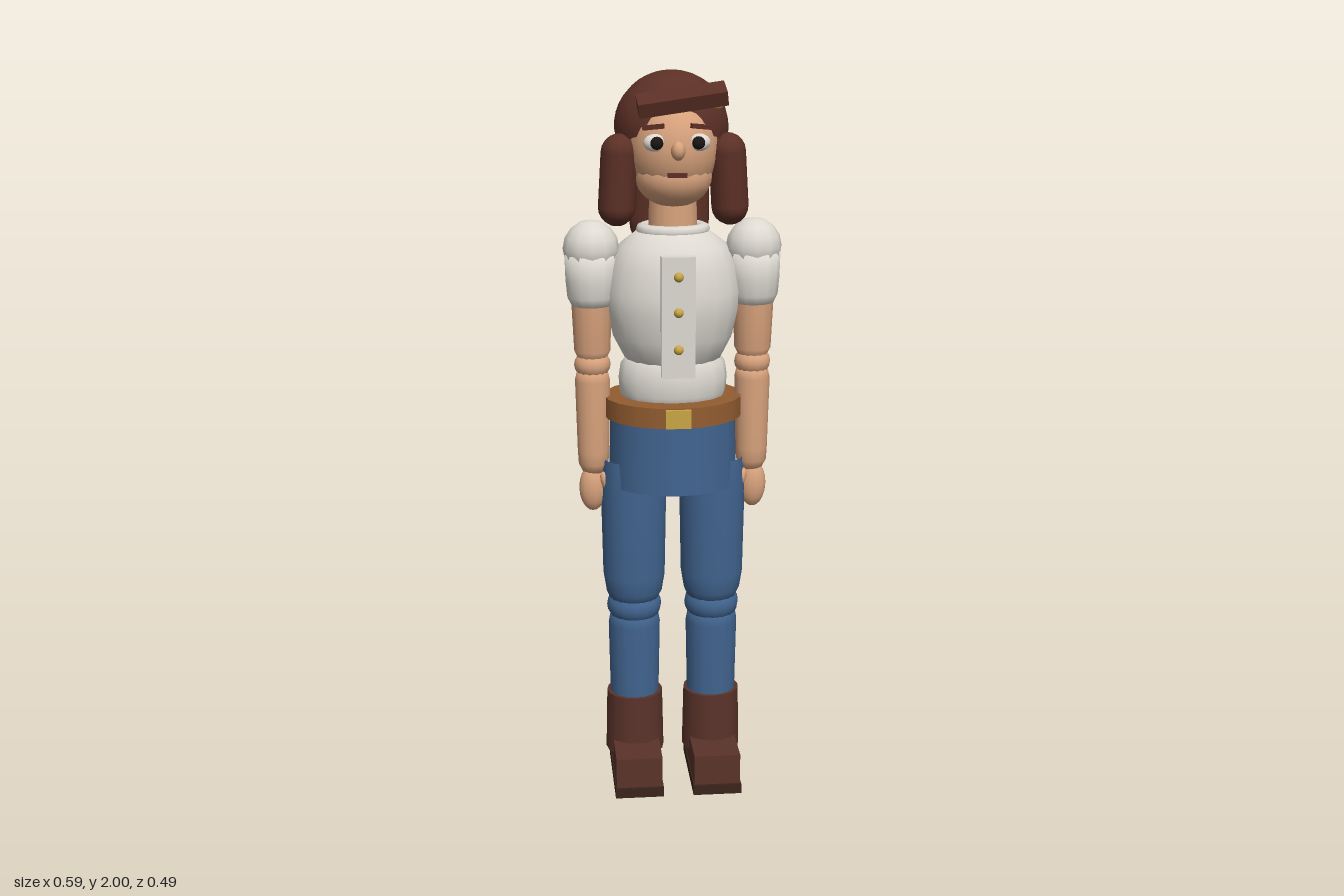
import * as THREE from 'three';

const mat = (name, color) => {
  const m = new THREE.MeshStandardMaterial({ color });
  m.name = name;
  return m;
};

export function createModel() {
  const skin = mat('skin', 0xd9a37d), cream = mat('cream cloth', 0xdedad2), denim = mat('denim', 0x41648f);
  const hair = mat('hair', 0x5c3026), boot = mat('boot leather', 0x5a332a), sole = mat('sole', 0x3a241c);
  const tan = mat('tan leather', 0x935d31), gold = mat('gold', 0xc9a545), purple = mat('purple', 0x73499e);
  const dark = mat('pupil', 0x1c1614);
  const root = new THREE.Group();
  const Z = 0.055; // axis of the body

  const add = (name, geo, m, x, y, z, parent = root) => {
    const mesh = new THREE.Mesh(geo, m);
    mesh.name = name;
    mesh.position.set(x, y, z);
    parent.add(mesh);
    return mesh;
  };
  const box = (name, m, w, h, d, x, y, z, p) => add(name, new THREE.BoxGeometry(w, h, d), m, x, y, z, p);
  const ball = (name, m, rx, ry, rz, x, y, z, p, seg = 14) => {
    const mesh = add(name, new THREE.SphereGeometry(1, seg, Math.max(8, seg - 4)), m, x, y, z, p);
    mesh.scale.set(rx, ry, rz);
    return mesh;
  };
  // Turned part: profile of [radius, y] from bottom to top, flattened in z
  const turn = (name, m, pts, x, z, flat = 1, seg = 16, p = root) => {
    const geo = new THREE.LatheGeometry(pts.map(([r, y]) => new THREE.Vector2(r, y)), seg);
    const mesh = add(name, geo, m, x, 0, z, p);
    mesh.scale.z = flat;
    return mesh;
  };

  // Torso and clothing
  turn('waist', cream, [[0, 1.09], [0.13, 1.1], [0.146, 1.14], [0.149, 1.18], [0.143, 1.22], [0.12, 1.25], [0, 1.27]], 0, Z, 0.75);
  turn('chest', cream, [[0, 1.19], [0.09, 1.2], [0.132, 1.235], [0.163, 1.295], [0.18, 1.37], [0.182, 1.42], [0.17, 1.49],
    [0.145, 1.545], [0.1, 1.58], [0, 1.595]], 0, Z, 0.8, 20);
  const collar = add('collar', new THREE.TorusGeometry(0.083, 0.017, 8, 20), cream, 0, 1.585, Z);
  collar.rotation.x = Math.PI / 2;
  collar.scale.y = 0.8;
  box('placket', cream, 0.09, 0.325, 0.028, 0, 1.375, 0.208);
  for (const y of [1.485, 1.39, 1.29]) ball('button', gold, 0.013, 0.013, 0.013, 0, y, 0.224, root, 10);
  add('hips', new THREE.CylinderGeometry(0.172, 0.178, 0.21, 20), denim, 0, 0.985, Z).scale.z = 0.87;
  add('belt', new THREE.CylinderGeometry(0.19, 0.19, 0.056, 20), tan, 0, 1.1, Z).scale.z = 0.86;
  box('buckle', gold, 0.068, 0.05, 0.022, 0, 1.1, 0.217);

  // Backpack
  box('backpack', tan, 0.234, 0.275, 0.108, 0, 1.362, -0.154);
  box('backpackPocket', purple, 0.166, 0.107, 0.037, 0, 1.308, -0.2265);

  // Limbs, one set for each side
  for (const s of [-1, 1]) {
    const arm = new THREE.Group();
    arm.name = s > 0 ? 'leftArm' : 'rightArm';
    arm.position.set(s * 0.22, 0, 0.05);
    root.add(arm);
    ball('puffShoulder', cream, 0.076, 0.077, 0.077, 0, 1.535, 0, arm, 12);
    turn('sleeve', cream, [[0, 1.38], [0.055, 1.38], [0.067, 1.405], [0.071, 1.45], [0.073, 1.52], [0, 1.54]], 0, 0, 1, 14, arm);
    turn('upperArm', skin, [[0, 1.215], [0.035, 1.225], [0.05, 1.255], [0.056, 1.39]], 0, 0, 1, 14, arm);
    ball('elbow', skin, 0.05, 0.042, 0.05, 0, 1.215, 0, arm);
    turn('forearm', skin, [[0, 0.905], [0.03, 0.91], [0.042, 0.935], [0.044, 0.97], [0.049, 1.17], [0.042, 1.2], [0, 1.21]], 0, 0, 1, 14, arm);
    ball('hand', skin, 0.038, 0.067, 0.032, s * 0.003, 0.865, 0.008, arm);
    const thumb = ball('thumb', skin, 0.014, 0.03, 0.016, -s * 0.032, 0.888, 0.032, arm, 10);
    thumb.rotation.z = -s * 0.3;

    const leg = new THREE.Group();
    leg.name = s > 0 ? 'leftLeg' : 'rightLeg';
    leg.position.set(s * 0.11, 0, Z);
    root.add(leg);
    turn('thigh', denim, [[0, 0.525], [0.065, 0.53], [0.079, 0.56], [0.087, 0.61], [0.092, 0.88], [0.085, 0.95]], 0, 0, 1, 18, leg);
    ball('knee', denim, 0.077, 0.06, 0.077, 0, 0.515, 0, leg, 16);
    turn('shin', denim, [[0.068, 0.2], [0.073, 0.46], [0.066, 0.5], [0, 0.52]], 0, 0, 1, 16, leg);
    add('bootShaft', new THREE.CylinderGeometry(0.079, 0.083, 0.177, 16), boot, 0, 0.1635, 0, leg);
    box('bootFoot', boot, 0.13, 0.09, 0.27, 0, 0.07, 0.045, leg);
    box('bootSole', sole, 0.136, 0.028, 0.287, 0, 0.014, 0.0445, leg);
  }

  // Head
  add('neck', new THREE.CylinderGeometry(0.062, 0.067, 0.16, 16), skin, 0, 1.64, Z);
  ball('head', skin, 0.12, 0.145, 0.13, 0, 1.805, 0.062, root, 20);
  ball('jaw', skin, 0.103, 0.082, 0.1, 0, 1.73, 0.08, root, 18);
  ball('nose', skin, 0.019, 0.025, 0.025, 0, 1.81, 0.203, root, 10);
  box('mouth', hair, 0.05, 0.012, 0.01, 0, 1.745, 0.184);
  for (const s of [-1, 1]) {
    ball('eyeWhite', cream, 0.031, 0.023, 0.02, s * 0.057, 1.828, 0.171, root, 12);
    ball('pupil', dark, 0.017, 0.017, 0.014, s * 0.054, 1.829, 0.191, root, 10);
    const brow = box('eyebrow', hair, 0.056, 0.012, 0.014, s * 0.062, 1.869, 0.178);
    brow.rotation.set(0, s * 0.35, -s * 0.12);
    const lock = add('sideLock', new THREE.CapsuleGeometry(0.05, 0.145, 5, 12), hair, s * 0.147, 1.72, 0.075);
    lock.scale.z = 1.15;
    lock.rotation.z = s * 0.06;
  }

  // Hair
  const capGeo = new THREE.SphereGeometry(1, 18, 12, 0, Math.PI * 2, 0, Math.PI * 0.62);
  const cap = add('hairCap', capGeo, hair, 0, 1.855, 0.016);
  cap.scale.set(0.153, 0.146, 0.145);
  cap.rotation.x = -0.36;
  hair.side = THREE.DoubleSide;
  const back = add('backHair', new THREE.CapsuleGeometry(0.11, 0.16, 6, 16), hair, 0, 1.675, -0.052);
  back.scale.z = 0.52;
  const fringe = box('fringe', hair, 0.232, 0.038, 0.07, 0.014, 1.936, 0.158);
  fringe.rotation.set(0.34, 0.03, 0.14);
  const clip = ball('hairClip', gold, 0.022, 0.012, 0.026, 0.108, 1.925, 0.134, root, 10);
  clip.rotation.x = 0.35;

  return root;
}
